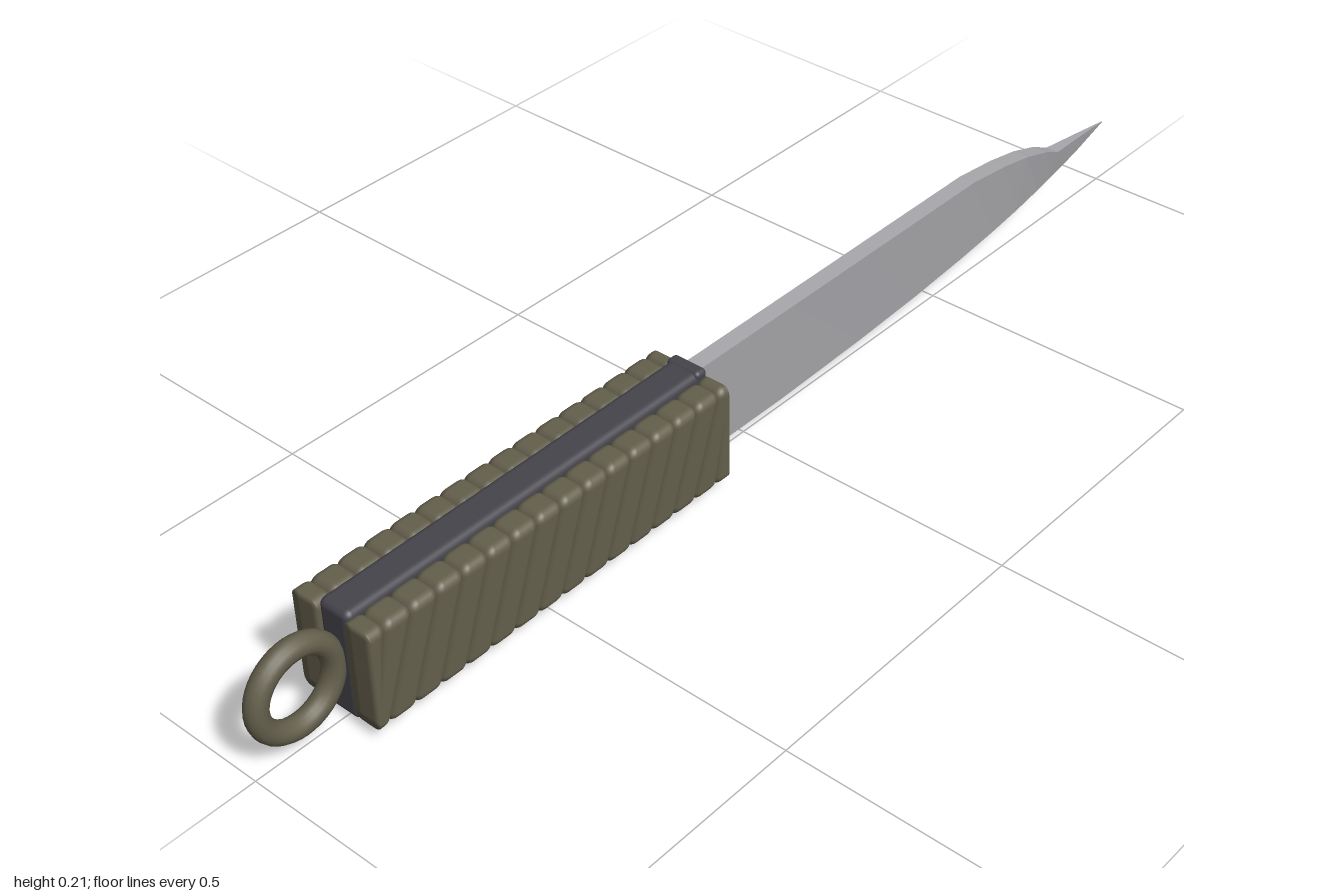
import * as THREE from 'three';
import { RoundedBoxGeometry } from 'three/addons/geometries/RoundedBoxGeometry.js';

const material = (name, color) => {
  const m = new THREE.MeshStandardMaterial({ color });
  m.name = name;
  return m;
};

// Wedge-shaped blade from triangular sections: [x, spine y, edge y, half thickness]
function bladeGeometry() {
  const sections = [
    [-0.16, 0.195, 0.012, 0.015], [0.1, 0.195, 0.012, 0.015], [0.3, 0.195, 0.018, 0.015],
    [0.45, 0.195, 0.026, 0.015], [0.58, 0.195, 0.037, 0.015], [0.67, 0.185, 0.047, 0.015],
    [0.74, 0.172, 0.057, 0.015], [0.8, 0.154, 0.068, 0.014], [0.84, 0.135, 0.076, 0.012],
    [0.92, 0.129, 0.095, 0.006], [1, 0.122, 0.12, 0.0005],
  ];
  const pos = [];
  const quad = (a, b, c, d) => pos.push(...a, ...b, ...c, ...a, ...c, ...d);
  const corners = ([x, s, e, t]) => [[x, s, t], [x, s, -t], [x, e, 0]];
  for (let i = 0; i < sections.length - 1; i++) {
    const [a, b, c] = corners(sections[i]);
    const [a2, b2, c2] = corners(sections[i + 1]);
    quad(a, c, c2, a2); // front side
    quad(b, b2, c2, c); // back side
    quad(a, a2, b2, b); // spine
  }
  const g = new THREE.BufferGeometry();
  g.setAttribute('position', new THREE.Float32BufferAttribute(pos, 3));
  g.computeVertexNormals();
  return g;
}

export function createModel() {
  const model = new THREE.Group();
  const steel = material('blade steel', 0xa9a9ad);
  const dark = material('dark handle core', 0x45444c);
  const olive = material('olive cord', 0x645f4c);

  const add = (name, geometry, mat, x = 0, y = 0, z = 0, parent = model) => {
    const mesh = new THREE.Mesh(geometry, mat);
    mesh.name = name;
    mesh.position.set(x, y, z);
    parent.add(mesh);
    return mesh;
  };

  add('blade', bladeGeometry(), steel);

  // Handle core, a little taller towards the blade
  const core = new RoundedBoxGeometry(0.72, 0.2, 0.06, 3, 0.012);
  const cp = core.attributes.position;
  for (let i = 0; i < cp.count; i++) cp.setY(i, cp.getY(i) * (0.985 + 0.05 * cp.getX(i)));
  add('handleCore', core, dark, -0.48, 0.104, 0);
  add('guard', new RoundedBoxGeometry(0.024, 0.206, 0.064, 3, 0.008), dark, -0.132, 0.104, 0);

  // Slanted cord wraps on both sides, cut off at the ends of the grip
  const left = -0.842, right = -0.124, count = 15, lean = 0.35;
  const pitch = (right - left) / count;
  for (const side of [1, -1]) {
    const grip = new THREE.Group();
    grip.name = side > 0 ? 'frontWrap' : 'backWrap';
    model.add(grip);
    add('wrapBase', new RoundedBoxGeometry(0.71, 0.155, 0.045, 3, 0.01), olive,
      (left + right) / 2, 0.108, side * 0.044, grip);
    for (let i = -1; i <= count; i++) {
      const g = new RoundedBoxGeometry(pitch * 1.06, 0.174, 0.053, 3, 0.014);
      const p = g.attributes.position;
      const cx = left + (i + 0.5) * pitch;
      for (let k = 0; k < p.count; k++) {
        const x = cx + p.getX(k) + lean * p.getY(k);
        p.setX(k, THREE.MathUtils.clamp(x, left, right));
      }
      add('cordStrand', g, olive, 0, 0.108, side * 0.0515, grip);
    }
  }

  // Cord loop at the end of the handle
  add('lanyardRing', new THREE.TorusGeometry(0.067, 0.018, 14, 40), olive, -0.915, 0.11, 0);

  return model;
}
